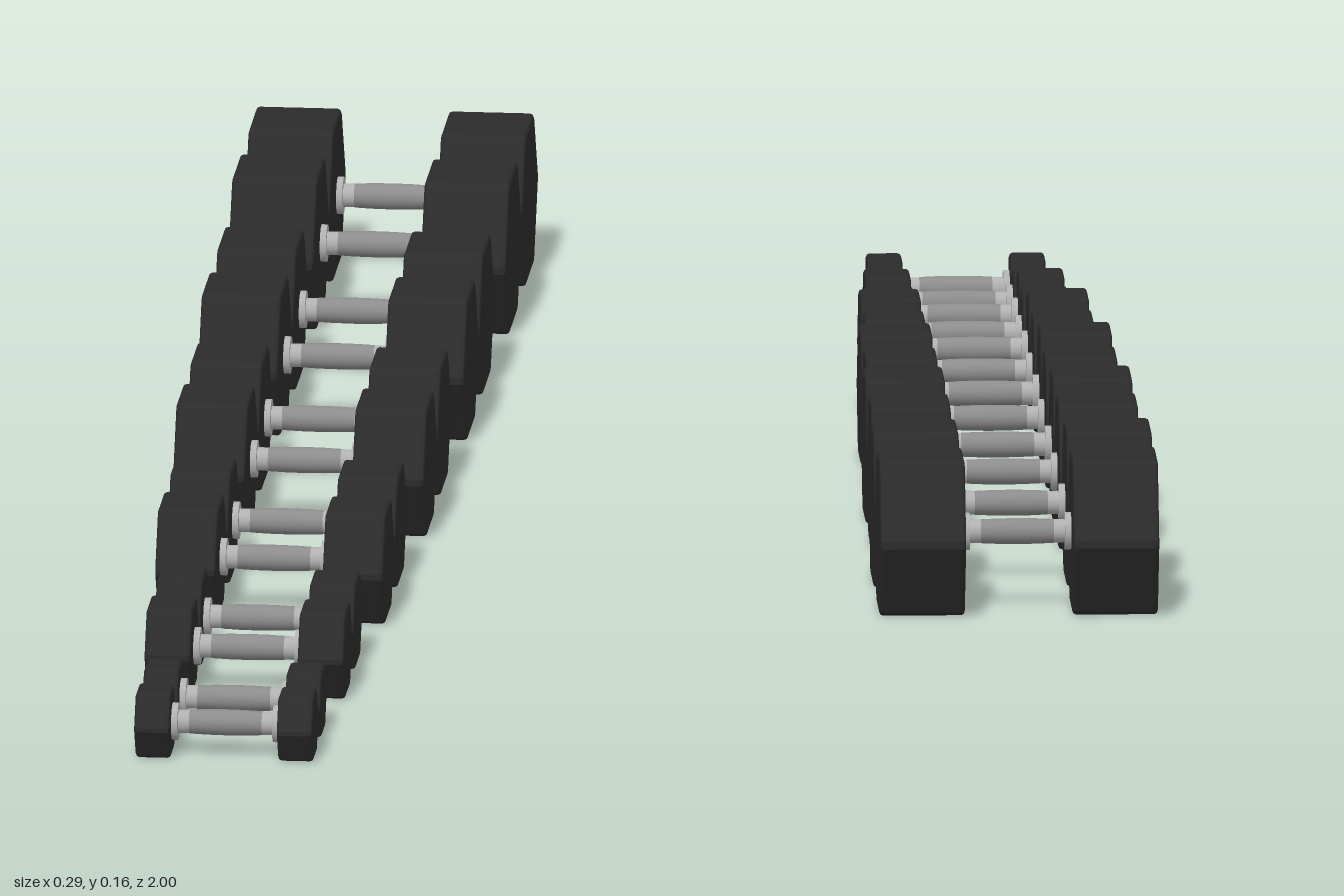
import * as THREE from 'three';

const rubber = new THREE.MeshStandardMaterial({ color: 0x2b2b2b });
rubber.name = 'blackRubber';
const steel = new THREE.MeshStandardMaterial({ color: 0xb0b0b0 });
steel.name = 'lightSteel';
const knurl = new THREE.MeshStandardMaterial({ color: 0x8c8c8c });
knurl.name = 'knurledSteel';

const INNER = 0.056; // inner face of every head

// Each pair: head height, outer half length, z of the two dumbbells
const PAIRS = [
  [0.070, 0.093, 0.960, 0.866],
  [0.093, 0.104, 0.710, 0.596],
  [0.119, 0.119, 0.412, 0.271],
  [0.138, 0.131, 0.068, -0.091],
  [0.152, 0.139, -0.308, -0.484],
  [0.163, 0.145, -0.721, -0.906],
];

// Hexagonal prism along x with clipped corners and bevelled rims
function headGeometry(height, width) {
  const bevel = 0.004;
  const radius = (height / 2 - bevel) / Math.cos(Math.PI / 6);
  const corner = (i) => new THREE.Vector2(Math.cos(i * Math.PI / 3), Math.sin(i * Math.PI / 3)).multiplyScalar(radius);
  const points = [];
  for (let i = 0; i < 6; i++) {
    points.push(corner(i).lerp(corner(i + 5), 0.04), corner(i).lerp(corner(i + 1), 0.04));
  }
  const geometry = new THREE.ExtrudeGeometry(new THREE.Shape(points), {
    depth: width - 2 * bevel, bevelEnabled: true, bevelSize: bevel, bevelThickness: bevel, bevelSegments: 2,
  });
  geometry.translate(0, 0, -width / 2 + bevel);
  return geometry.rotateY(Math.PI / 2);
}

// Turned part along x from [radius, position] pairs
function turned(profile) {
  const points = profile.map(([r, x]) => new THREE.Vector2(r, x));
  return new THREE.LatheGeometry(points, 24).rotateZ(-Math.PI / 2);
}

function part(name, geometry, material, x = 0) {
  const mesh = new THREE.Mesh(geometry, material);
  mesh.name = name;
  mesh.position.x = x;
  return mesh;
}

function dumbbell(height, outer) {
  const group = new THREE.Group();
  group.name = 'dumbbell';
  const width = outer - INNER;
  const head = headGeometry(height, width);
  // Slightly swollen grip
  group.add(part('grip', turned([[0.0125, -0.038], [0.0133, -0.02], [0.0136, 0], [0.0133, 0.02], [0.0125, 0.038]]), knurl));
  for (const side of [1, -1]) {
    const label = side > 0 ? 'left' : 'right';
    group.add(part(label + 'Head', head, rubber, side * (INNER + width / 2)));
    const neck = new THREE.CylinderGeometry(0.0122, 0.0122, 0.022, 24, 1, true).rotateZ(Math.PI / 2);
    group.add(part(label + 'Neck', neck, steel, side * 0.048));
    // Collar against the head
    const collar = new THREE.CylinderGeometry(0.0195, 0.0195, 0.008, 24).rotateZ(Math.PI / 2);
    group.add(part(label + 'Collar', collar, steel, side * 0.0535));
  }
  group.position.y = height / 2;
  return group;
}

export function createModel() {
  const rack = new THREE.Group();
  rack.name = 'dumbbellSet';
  for (const [height, outer, ...places] of PAIRS) {
    const pair = new THREE.Group();
    pair.name = 'dumbbellPair';
    for (const z of places) {
      const item = dumbbell(height, outer);
      item.position.z = z;
      pair.add(item);
    }
    rack.add(pair);
  }
  return rack;
}
